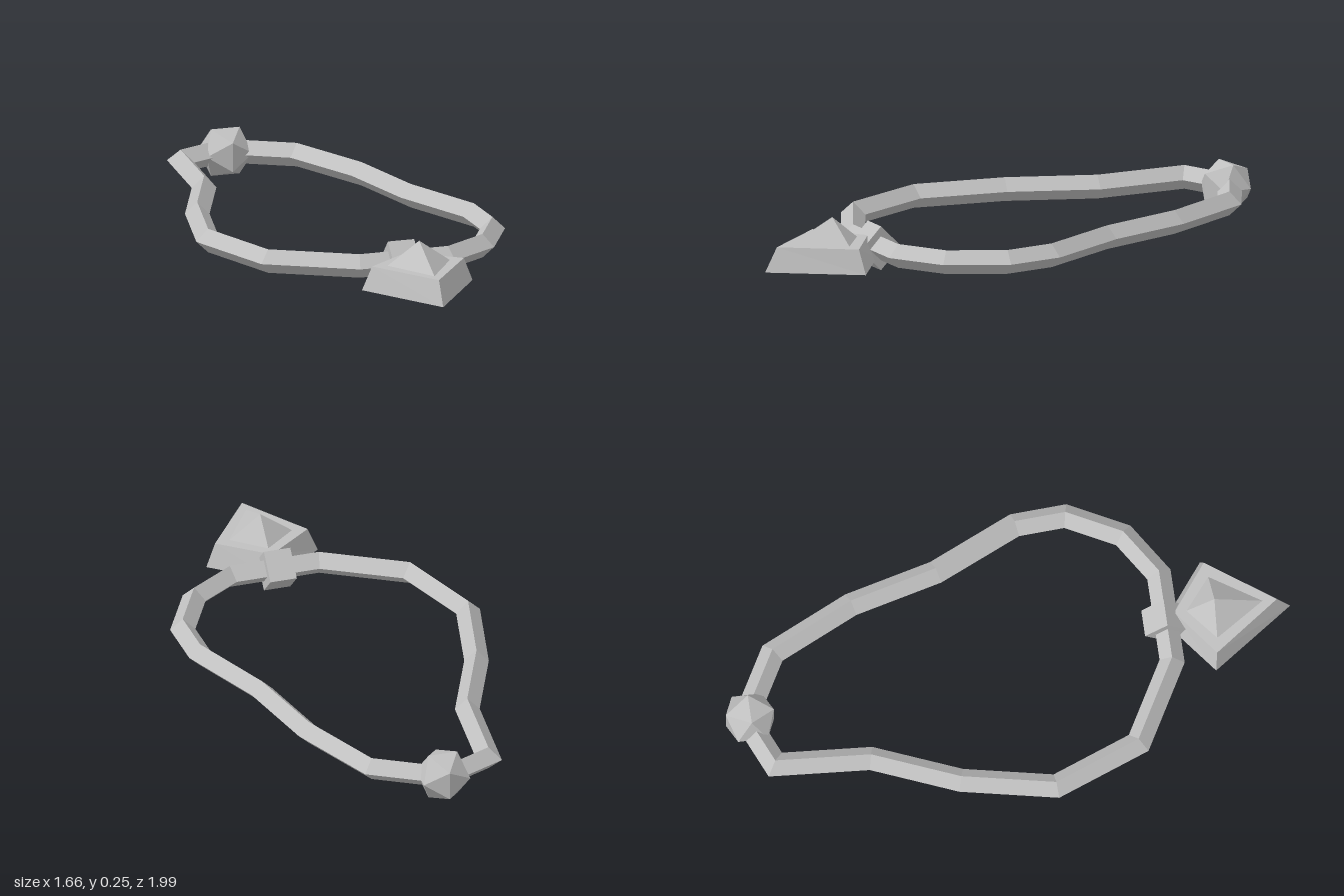
import * as THREE from 'three';

const MID_Y = 0.108;
const TILT = 0.557; // yaw shared by the pendant and its bail

// Skins a stack of closed loops (each counter-clockwise from above)
function loft(loops) {
  const pos = [];
  for (let i = 0; i < loops.length - 1; i++) {
    const low = loops[i], high = loops[i + 1], n = low.length;
    for (let k = 0; k < n; k++) {
      const j = (k + 1) % n;
      pos.push(...low[k], ...low[j], ...high[k], ...low[j], ...high[j], ...high[k]);
    }
  }
  const g = new THREE.BufferGeometry();
  g.setAttribute('position', new THREE.Float32BufferAttribute(pos, 3));
  g.computeVertexNormals();
  return g;
}

// Loop parallel to the path, moved outward with mitred corners
function offsetLoop(path, out, y) {
  const n = path.length;
  const normal = (a, b) => new THREE.Vector2(a[1] - b[1], b[0] - a[0]).normalize();
  return path.map((p, i) => {
    const n1 = normal(path[(i + n - 1) % n], p);
    const n2 = normal(p, path[(i + 1) % n]);
    const m = n1.clone().add(n2).normalize();
    const d = out / m.dot(n1);
    return [p[0] + m.x * d, y, p[1] + m.y * d];
  });
}

// Kite outline: back length, half width, shoulder position, front length
const kite = (y, back, half, shoulder, front) =>
  [[0, y, -back], [-half, y, shoulder], [0, y, front], [half, y, shoulder]];

export function createModel() {
  const model = new THREE.Group();
  const metal = new THREE.MeshStandardMaterial({ color: 0xc0c0c0 });
  metal.name = 'greyMetal';
  metal.flatShading = true;

  const add = (name, geometry, x = 0, y = 0, z = 0, yaw = 0) => {
    const mesh = new THREE.Mesh(geometry, metal);
    mesh.name = name;
    mesh.position.set(x, y, z);
    mesh.rotation.y = yaw;
    model.add(mesh);
  };

  // Necklace band: diamond section along an irregular loop (x, z)
  const path = [
    [-0.77, -0.71], [-0.58, -0.35], [-0.515, 0.04], [-0.375, 0.42], [-0.055, 0.66],
    [0.34, 0.64], [0.675, 0.43], [0.775, 0.22], [0.755, -0.04], [0.63, -0.22],
    [0.3, -0.44], [0.02, -0.71], [-0.315, -0.925], [-0.63, -0.91],
  ];
  const r = 0.052;
  const outer = offsetLoop(path, r, MID_Y);
  add('band', loft([
    outer,
    offsetLoop(path, 0, MID_Y + r),
    offsetLoop(path, -r, MID_Y),
    offsetLoop(path, 0, MID_Y - r),
    outer,
  ]));

  // Faceted clasp bead at the back
  add('claspBead', new THREE.IcosahedronGeometry(0.121, 0), -0.62, 0.11, -0.895, 0.554);

  // Square bail sleeve holding the pendant
  const bail = new THREE.CylinderGeometry(0.096, 0.096, 0.117, 4);
  bail.rotateZ(Math.PI / 2);
  add('bail', bail, 0.497, MID_Y, 0.54, TILT);

  // Kite pendant: flat underside, sloped rim, flat ledge, pyramid stone
  add('pendantSetting', loft([
    kite(0.056, 0, 0, 0, 0),
    kite(0.056, 0.19, 0.247, 0, 0.352),
    kite(0.16, 0.145, 0.205, 0.01, 0.295),
    kite(0.16, 0.093, 0.139, 0.02, 0.233),
  ]), 0.604, 0, 0.69, TILT);
  add('pendantStone', loft([
    kite(0.16, 0.093, 0.139, 0.02, 0.233),
    kite(0.26, -0.027, 0, 0.027, 0.027),
  ]), 0.604, 0, 0.69, TILT);

  return model;
}
